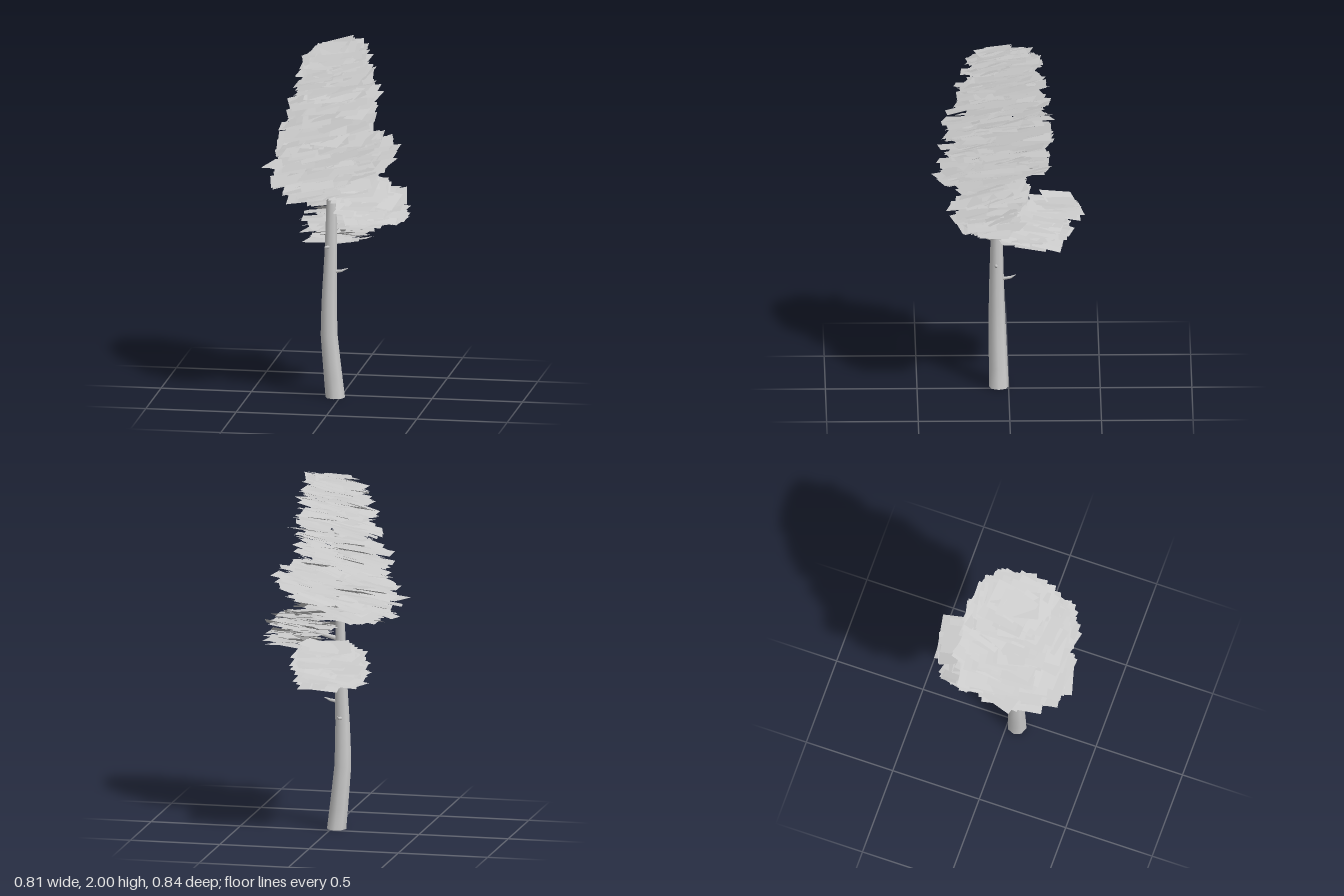
import * as THREE from 'three';
import { mergeGeometries, mergeVertices } from 'three/addons/utils/BufferGeometryUtils.js';

const bark = new THREE.MeshStandardMaterial({ color: 0xcccccc, side: THREE.DoubleSide });
const leaf = new THREE.MeshStandardMaterial({ color: 0xcccccc, side: THREE.DoubleSide, flatShading: true });

let seed = 7;
function rand(a = 0, b = 1) {
  seed = (seed * 16807) % 2147483647;
  return a + (b - a) * (seed / 2147483647);
}

// Linear interpolation in rows sorted by their first entry
function sample(rows, y) {
  let i = 0;
  while (i < rows.length - 2 && y > rows[i + 1][0]) i++;
  const t = THREE.MathUtils.clamp((y - rows[i][0]) / (rows[i + 1][0] - rows[i][0]), 0, 1);
  return rows[i].map((v, k) => v + (rows[i + 1][k] - v) * t);
}

// Trunk: height, centre x, centre z, radius
const TRUNK = [
  [0.005, -0.027, 0.053, 0.054], [0.2, -0.046, 0.058, 0.05], [0.36, -0.06, 0.062, 0.047],
  [0.55, -0.059, 0.065, 0.042], [0.8, -0.05, 0.065, 0.035], [1.1, -0.046, 0.062, 0.028],
  [1.5, -0.035, 0.05, 0.018], [1.88, -0.02, 0.04, 0.006],
];

// Bent, tapered tube, open at the ground
function makeTrunk() {
  let geo = new THREE.CylinderGeometry(1, 1, 1.88, 8, 16, true);
  geo.translate(0, 0.94, 0);
  geo.deleteAttribute('uv');
  geo.deleteAttribute('normal');
  geo = mergeVertices(geo);
  const p = geo.attributes.position;
  for (let i = 0; i < p.count; i++) {
    const [y, cx, cz, r] = sample(TRUNK, p.getY(i));
    p.setXYZ(i, cx + p.getX(i) * r, y, cz + p.getZ(i) * r);
  }
  geo.computeVertexNormals();
  const mesh = new THREE.Mesh(geo, bark);
  mesh.name = 'trunk';
  return mesh;
}

// Tapered stick between two points
function stick(name, from, to, r0, r1) {
  const a = new THREE.Vector3(...from), b = new THREE.Vector3(...to);
  const dir = b.clone().sub(a);
  const mesh = new THREE.Mesh(new THREE.CylinderGeometry(r1, r0, dir.length(), 6), bark);
  mesh.position.copy(a).add(b).multiplyScalar(0.5);
  mesh.quaternion.setFromUnitVectors(new THREE.Vector3(0, 1, 0), dir.normalize());
  mesh.name = name;
  return mesh;
}

// One square leaf card, leaning along the given normal
function card(x, y, z, lean) {
  const size = rand(0.15, 0.19);
  const geo = new THREE.PlaneGeometry(size, size);
  geo.rotateX(-Math.PI / 2);
  geo.rotateY(rand(-0.3, 0.3));
  const n = new THREE.Vector3(lean[0] + rand(-0.16, 0.16), 1, lean[1] + rand(-0.16, 0.16)).normalize();
  geo.applyQuaternion(new THREE.Quaternion().setFromUnitVectors(new THREE.Vector3(0, 1, 0), n));
  return geo.translate(x, y, z);
}

// Foliage filling a stack of ellipses: height, centre x, centre z, radius x, radius z
function foliage(name, rows, count, lean) {
  const cards = [];
  const y0 = rows[0][0], y1 = rows[rows.length - 1][0];
  for (let i = 0; i < count; i++) {
    const [y, cx, cz, rx, rz] = sample(rows, y0 + (y1 - y0) * (i + 0.5) / count);
    const a = i * 2.39996 + rand(-0.5, 0.5), d = 1.06 * Math.pow(rand(), 0.42);
    cards.push(card(cx + Math.cos(a) * rx * d, y, cz + Math.sin(a) * rz * d, lean));
  }
  const mesh = new THREE.Mesh(mergeGeometries(cards), leaf);
  mesh.name = name;
  return mesh;
}

export function createModel() {
  const tree = new THREE.Group();
  tree.name = 'tree';
  tree.add(makeTrunk());

  // Dead twigs on the bare trunk
  tree.add(
    stick('sideTwig', [-0.04, 0.71, 0.068], [0.01, 0.718, 0.068], 0.011, 0.008),
    stick('sideTwigTip', [0.01, 0.718, 0.068], [0.045, 0.732, 0.066], 0.008, 0.002),
    stick('backTwig', [-0.056, 0.622, 0.05], [-0.054, 0.632, -0.01], 0.011, 0.008),
    stick('backTwigTip', [-0.054, 0.632, -0.01], [-0.052, 0.648, -0.04], 0.008, 0.002),
    stick('frontTwig', [-0.055, 0.852, 0.08], [-0.07, 0.862, 0.138], 0.01, 0.004),
  );

  // Boughs carrying the two low clusters
  tree.add(
    stick('leftBough', [-0.045, 1.06, 0.063], [0.22, 1.12, 0.08], 0.014, 0.005),
    stick('backBough', [-0.048, 0.9, 0.064], [-0.02, 0.97, -0.24], 0.014, 0.005),
  );

  // Main crown
  tree.add(foliage('crown', [
    [1.17, -0.1, 0.15, 0.11, 0.14], [1.22, -0.13, 0.09, 0.15, 0.22], [1.3, -0.12, 0.06, 0.19, 0.24],
    [1.4, -0.09, 0.045, 0.19, 0.25], [1.5, -0.07, 0.06, 0.175, 0.23], [1.65, -0.035, 0.05, 0.17, 0.2],
    [1.8, -0.03, 0.04, 0.125, 0.165], [1.91, -0.025, 0.04, 0.11, 0.13], [1.97, -0.005, 0.04, 0.06, 0.08],
  ], 430, [-0.22, 0.14]));

  // Bulge on the left of the crown
  tree.add(foliage('leftBulge', [
    [1.27, 0.09, 0.05, 0.06, 0.1], [1.34, 0.13, 0.07, 0.1, 0.13],
    [1.4, 0.15, 0.08, 0.11, 0.12], [1.47, 0.11, 0.08, 0.07, 0.08],
  ], 55, [-0.24, 0.14]));

  // Low cluster on the left
  tree.add(foliage('leftCluster', [
    [1.02, 0.2, 0.07, 0.08, 0.06], [1.07, 0.2, 0.1, 0.11, 0.13],
    [1.14, 0.17, 0.11, 0.13, 0.14], [1.19, 0.12, 0.1, 0.1, 0.12], [1.24, 0.07, 0.09, 0.06, 0.09],
  ], 95, [-0.02, 0.2]));

  // Low cluster at the back
  tree.add(foliage('backCluster', [
    [0.85, -0.04, -0.13, 0.1, 0.1], [0.91, -0.04, -0.14, 0.13, 0.12],
    [0.98, -0.05, -0.17, 0.12, 0.12], [1.04, -0.03, -0.22, 0.1, 0.09], [1.09, -0.02, -0.27, 0.06, 0.04],
  ], 85, [-0.04, -0.14]));

  return tree;
}
